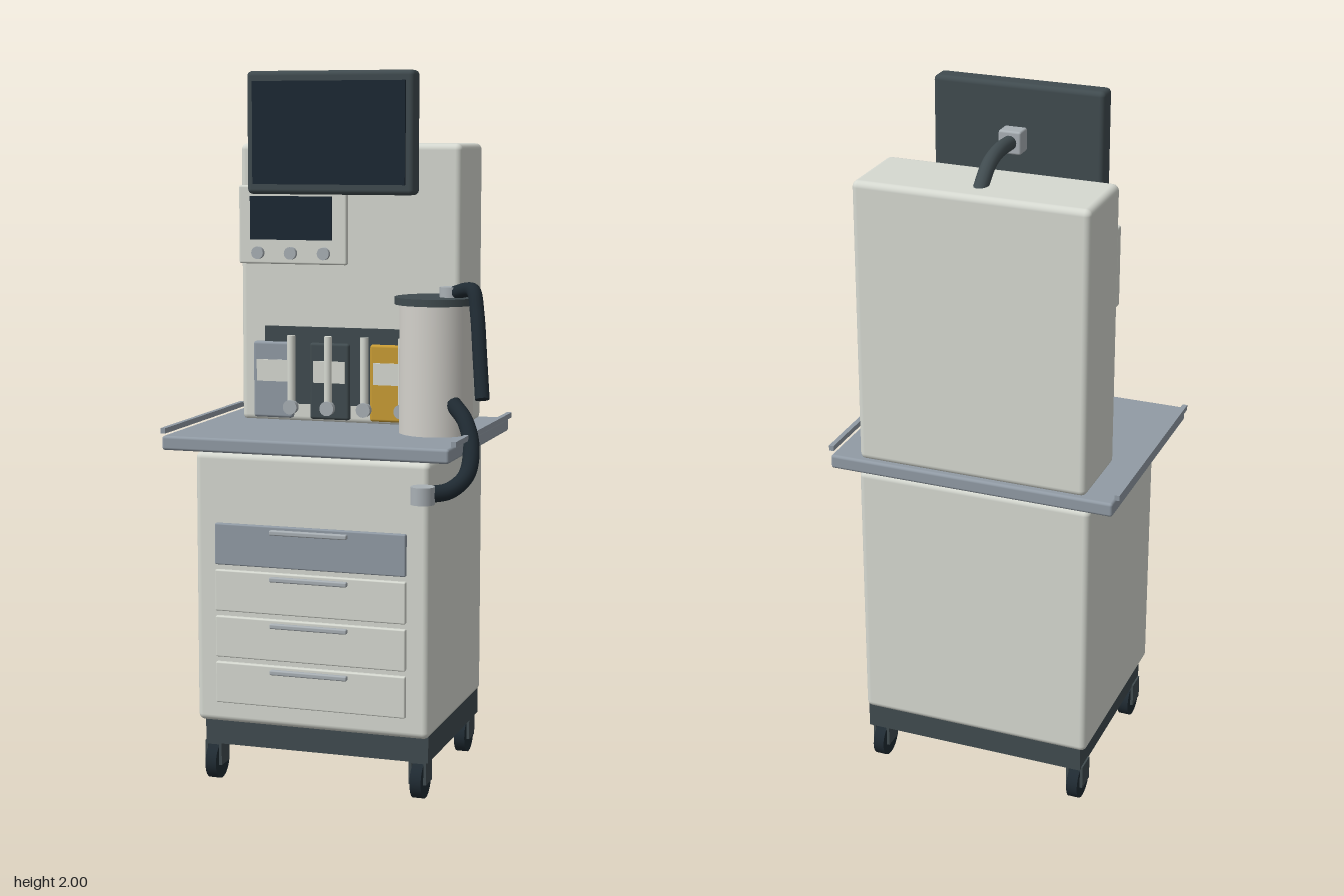
import * as THREE from 'three';
import { RoundedBoxGeometry } from 'three/addons/geometries/RoundedBoxGeometry.js';

const paint = (name, color) => {
  const m = new THREE.MeshStandardMaterial({ color });
  m.name = name;
  return m;
};

export function createModel() {
  const root = new THREE.Group();
  root.name = 'medicalCart';
  const cream = paint('cream enamel', 0xd6d9d1);
  const steel = paint('blue grey steel', 0x919ba5);
  const dark = paint('dark grey plastic', 0x404b4f);
  const rubber = paint('black rubber', 0x1f2a32);
  const screen = paint('screen glass', 0x1c2833);
  const metal = paint('light metal', 0xa9b0b5);
  const yellow = paint('yellow', 0xc99c34);
  const canisterWhite = paint('canister white', 0xd3d1cb);

  const add = (name, geo, mat, x = 0, y = 0, z = 0) => {
    const mesh = new THREE.Mesh(geo, mat);
    mesh.name = name;
    mesh.position.set(x, y, z);
    root.add(mesh);
    return mesh;
  };
  // Box given by its extents, rounded when r > 0
  const box = (name, mat, [x0, x1], [y0, y1], [z0, z1], r = 0) => {
    const s = [x1 - x0, y1 - y0, z1 - z0];
    const geo = r ? new RoundedBoxGeometry(...s, 3, r) : new THREE.BoxGeometry(...s);
    return add(name, geo, mat, (x0 + x1) / 2, (y0 + y1) / 2, (z0 + z1) / 2);
  };
  const rod = (name, mat, r, h, x, y, z, seg = 24) =>
    add(name, new THREE.CylinderGeometry(r, r, h, seg), mat, x, y, z);
  const knob = (name, mat, r, h, x, y, z) => {
    rod(name, mat, r, h, x, y, z).rotation.x = Math.PI / 2;
  };
  // Hose through points, closed with flat discs
  const hose = (name, mat, r, pts) => {
    const curve = new THREE.CatmullRomCurve3(pts.map(p => new THREE.Vector3(...p)));
    add(name, new THREE.TubeGeometry(curve, 40, r, 14), mat);
    for (const t of [0, 1]) {
      const p = curve.getPoint(t);
      const cap = add(name + 'End', new THREE.CircleGeometry(r, 14), mat, p.x, p.y, p.z);
      cap.lookAt(p.clone().addScaledVector(curve.getTangent(t), t ? 1 : -1));
    }
  };

  // Wheeled base
  box('base', dark, [-0.352, 0.305], [0.11, 0.185], [-0.3, 0.24]);
  for (const x of [-0.332, 0.273]) for (const z of [0.206, -0.26]) {
    rod('casterWheel', rubber, 0.053, 0.032, x, 0.053, z, 28).rotation.z = Math.PI / 2;
    for (const s of [-1, 1])
      box('casterFork', dark, [x + s * 0.021 - 0.004, x + s * 0.021 + 0.004], [0.045, 0.115], [z - 0.03, z + 0.03]);
    box('casterBridge', dark, [x - 0.025, x + 0.025], [0.105, 0.115], [z - 0.03, z + 0.03]);
  }

  // Cabinet and drawers
  box('cabinet', cream, [-0.37, 0.31], [0.18, 0.95], [-0.312, 0.26], 0.018);
  for (let i = 0; i < 4; i++) {
    const y = 0.24 + i * 0.132;
    box('drawer', i === 3 ? steel : cream, [-0.308, 0.247], [y, y + 0.117], [0.25, 0.273], 0.004);
    box('drawerHandle', metal, [-0.143, 0.082], [y + 0.094, y + 0.108], [0.27, 0.286], 0.004);
  }

  // Worktop with side rails
  box('neck', cream, [-0.35, 0.29], [0.94, 0.965], [-0.3, 0.24]);
  box('worktop', steel, [-0.442, 0.381], [0.96, 1.0], [-0.34, 0.325], 0.008);
  for (const x of [-0.448, 0.388])
    box('sideRail', steel, [x - 0.007, x + 0.007], [1.003, 1.018], [-0.32, 0.302]);

  // Upright tower
  box('tower', cream, [-0.361, 0.3], [0.995, 1.8], [-0.325, -0.085], 0.018);

  // Control panel
  box('controlPanel', cream, [-0.361, -0.033], [1.455, 1.68], [-0.1, -0.07], 0.006);
  box('controlScreen', screen, [-0.325, -0.076], [1.525, 1.65], [-0.072, -0.066]);
  for (const x of [-0.3, -0.2, -0.1]) knob('controlKnob', metal, 0.018, 0.016, x, 1.487, -0.064);

  // Vaporizers on a backing plate, with tubes between
  box('backPlate', dark, [-0.285, 0.18], [1.05, 1.275], [-0.1, -0.078]);
  [[-0.258, steel], [-0.085, dark], [0.097, yellow]].forEach(([x, mat]) => {
    box('vaporizer', mat, [x - 0.06, x + 0.06], [1.008, 1.23], [-0.13, -0.068], 0.008);
    box('vaporizerLabel', cream, [x - 0.048, x + 0.048], [1.115, 1.178], [-0.07, -0.064]);
  });
  for (const x of [-0.2, -0.088, 0.022, 0.135]) {
    rod('flowTube', cream, 0.012, 0.2, x, 1.15, -0.067, 16);
    knob('flowKnob', metal, 0.021, 0.02, x, 1.042, -0.06);
  }

  // Monitor on a bent arm
  box('monitor', dark, [-0.274, 0.213], [1.66, 2.0], [0.028, 0.092], 0.014);
  box('monitorScreen', screen, [-0.254, 0.19], [1.688, 1.972], [0.091, 0.1]);
  box('monitorMount', metal, [-0.063, 0.001], [1.823, 1.887], [-0.034, 0.018], 0.006);
  box('monitorJoint', dark, [-0.05, -0.012], [1.836, 1.874], [0.016, 0.03]);
  hose('monitorArm', dark, 0.02, [
    [-0.031, 1.855, -0.02], [-0.031, 1.856, -0.12], [-0.031, 1.838, -0.185], [-0.031, 1.785, -0.25]]);

  // Absorber canister
  rod('canister', canisterWhite, 0.103, 0.365, 0.261, 1.18, 0.025, 48);
  rod('canisterLid', dark, 0.117, 0.02, 0.261, 1.37, 0.025, 48);
  rod('hosePort', metal, 0.032, 0.03, 0.303, 1.393, 0.025);

  // Breathing hoses
  hose('upperHose', rubber, 0.02, [
    [0.318, 1.393, 0.036], [0.352, 1.403, 0.055], [0.382, 1.402, 0.083],
    [0.4, 1.345, 0.112], [0.42, 1.225, 0.155], [0.437, 1.12, 0.192]]);
  hose('lowerHose', rubber, 0.023, [
    [0.327, 1.092, 0.09], [0.372, 1.05, 0.125], [0.4, 0.985, 0.165],
    [0.4, 0.915, 0.212], [0.365, 0.878, 0.255], [0.315, 0.87, 0.29]]);
  rod('hoseConnector', metal, 0.033, 0.048, 0.304, 0.87, 0.305);
  return root;
}
